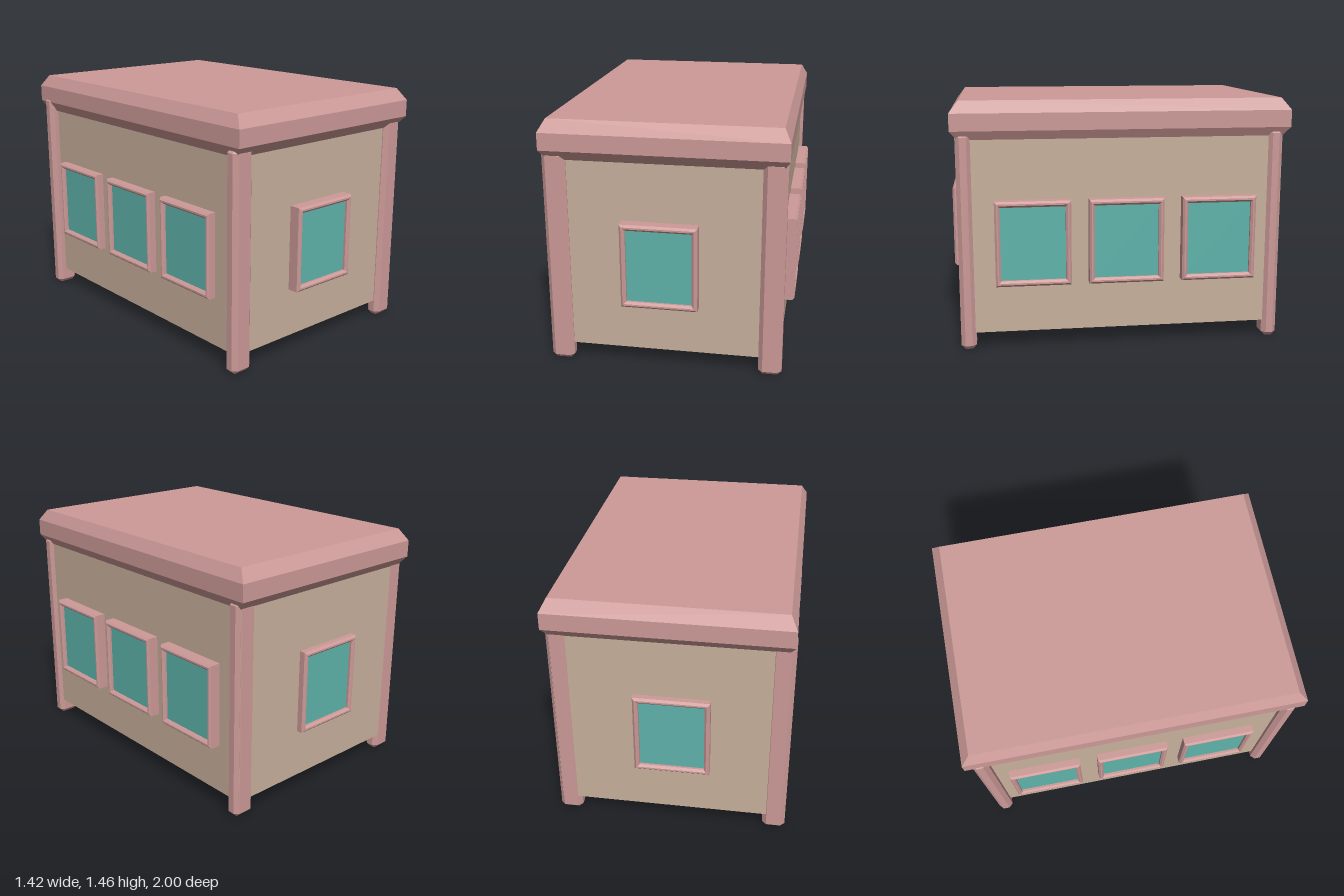
import * as THREE from 'three';
import { ConvexGeometry } from 'three/addons/geometries/ConvexGeometry.js';

const trim = new THREE.MeshStandardMaterial({ color: 0xcc9a98, flatShading: true });
const plaster = new THREE.MeshStandardMaterial({ color: 0xc8b09c, side: THREE.DoubleSide });
const glass = new THREE.MeshStandardMaterial({ color: 0x5fb3ab });
const grey = new THREE.MeshStandardMaterial({ color: 0xcccccc });

function add(parent, name, geometry, material) {
  const mesh = new THREE.Mesh(geometry, material);
  mesh.name = name;
  parent.add(mesh);
  return mesh;
}

// Box of full size w, h, d with every edge chamfered by c
function chamferBox(w, h, d, c) {
  const points = [];
  for (const sx of [-1, 1]) for (const sy of [-1, 1]) for (const sz of [-1, 1]) {
    for (let axis = 0; axis < 3; axis++) {
      const half = [w / 2 - c, h / 2 - c, d / 2 - c];
      half[axis] += c;
      points.push(new THREE.Vector3(sx * half[0], sy * half[1], sz * half[2]));
    }
  }
  return new ConvexGeometry(points);
}

// Roof slab: rectangles stacked at heights, inset at top and bottom
function roofGeometry(w, d) {
  const points = [];
  for (const [y, ix, iz] of [[1.23, 0.035, 0.05], [1.29, 0, 0], [1.39, 0, 0], [1.46, 0.037, 0.053]]) {
    for (const sx of [-1, 1]) for (const sz of [-1, 1]) {
      points.push(new THREE.Vector3(sx * (w / 2 - ix), y, sz * (d / 2 - iz)));
    }
  }
  return new ConvexGeometry(points);
}

function rectangle(path, hw, hh) {
  path.moveTo(-hw, -hh);
  path.lineTo(hw, -hh);
  path.lineTo(hw, hh);
  path.lineTo(-hw, hh);
  path.closePath();
  return path;
}

// Window box facing +z with its outer face at z = 0
function makeWindow(name) {
  const depth = 0.13, b = 0.012;
  const group = new THREE.Group();
  group.name = name;
  const shape = rectangle(new THREE.Shape(), 0.22 - b, 0.25 - b);
  shape.holes.push(rectangle(new THREE.Path(), 0.188 + b, 0.216 + b));
  const frame = new THREE.ExtrudeGeometry(shape, {
    depth: depth - 2 * b, bevelEnabled: true, bevelSize: b, bevelThickness: b, bevelSegments: 1,
  });
  frame.translate(0, 0, b - depth);
  add(group, 'windowFrame', frame, trim);
  add(group, 'windowPane', new THREE.PlaneGeometry(0.4, 0.456), glass).position.z = -0.025;
  const back = add(group, 'windowBacking', new THREE.PlaneGeometry(0.416, 0.476), grey);
  back.rotation.y = Math.PI;
  back.position.z = -depth - 0.001;
  return group;
}

export function createModel() {
  const model = new THREE.Group();
  model.name = 'building';

  // Roof
  add(model, 'roof', roofGeometry(1.375, 1.98), trim).position.set(-0.0175, 0, -0.007);

  // Four thin walls, open below
  const x0 = -0.66, x1 = 0.64, z0 = -0.954, z1 = 0.925, y0 = 0.1, y1 = 1.25;
  const cx = (x0 + x1) / 2, cz = (z0 + z1) / 2, cy = (y0 + y1) / 2;
  const walls = [
    ['frontWall', x1 - x0, cx, z1, 0],
    ['backWall', x1 - x0, cx, z0, Math.PI],
    ['leftWall', z1 - z0, x1, cz, Math.PI / 2],
    ['rightWall', z1 - z0, x0, cz, -Math.PI / 2],
  ];
  for (const [name, width, x, z, turn] of walls) {
    const wall = add(model, name, new THREE.PlaneGeometry(width, y1 - y0), plaster);
    wall.position.set(x, cy, z);
    wall.rotation.y = turn;
  }

  // Corner posts
  const posts = [
    ['frontLeftPost', 0.593, 0.91], ['frontRightPost', -0.635, 0.91],
    ['backLeftPost', 0.593, -0.912], ['backRightPost', -0.644, -0.912],
  ];
  for (const [name, x, z] of posts) {
    const height = name === 'backRightPost' ? 1.32 : 1.28;
    add(model, name, chamferBox(0.135, height, 0.09, 0.025), trim).position.set(x, height / 2, z);
  }

  // Windows: one on each end, three along each side
  const place = (name, x, z, turn) => {
    const w = makeWindow(name);
    w.position.set(x, 0.64, z);
    w.rotation.y = turn;
    model.add(w);
  };
  place('frontWindow', -0.04, 1, 0);
  place('backWindow', -0.04, -1, Math.PI);
  for (const z of [0.525, -0.02, -0.57]) {
    place('leftWindow', 0.71, z, Math.PI / 2);
    place('rightWindow', -0.713, z, -Math.PI / 2);
  }
  return model;
}
